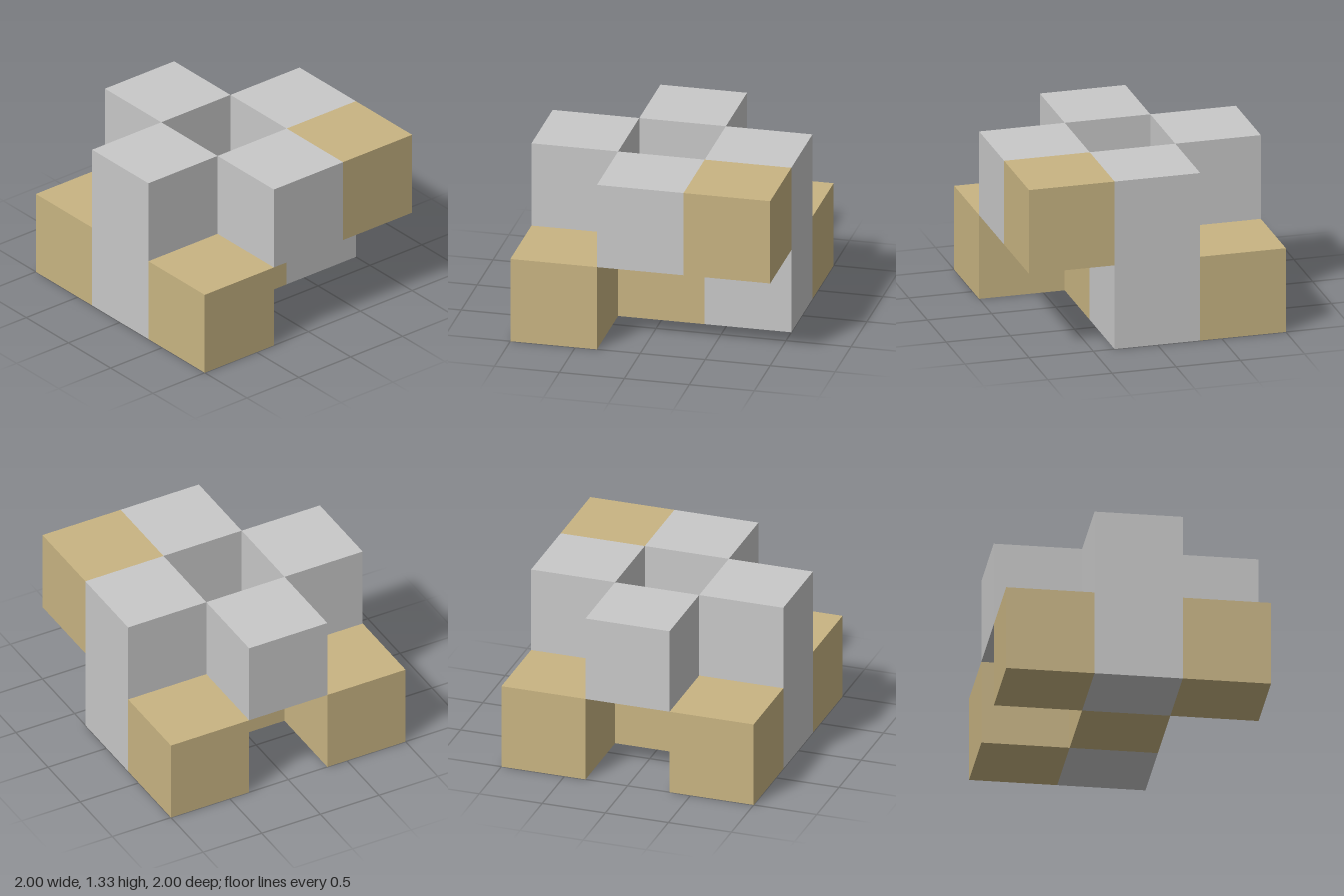
import * as THREE from 'three';

const CELL = 2 / 3;

export function createModel() {
  const model = new THREE.Group();
  model.name = 'blockPuzzle';

  const grey = new THREE.MeshStandardMaterial({ color: 0xc8c8c8 });
  grey.name = 'light grey';
  const tan = new THREE.MeshStandardMaterial({ color: 0xc8b482 });
  tan.name = 'sand';

  // One block at grid column x, layer y, row z (x and z from -1 to 1), some cells high
  function block(name, material, x, y, z, height = 1) {
    const mesh = new THREE.Mesh(new THREE.BoxGeometry(CELL, CELL * height, CELL), material);
    mesh.position.set(x * CELL, (y + height / 2) * CELL, z * CELL);
    mesh.name = name;
    model.add(mesh);
  }

  // Two-storey columns at the middle of the front and back
  block('frontColumn', grey, 0, 0, 1, 2);
  block('backColumn', grey, 0, 0, -1, 2);

  // Raised side blocks and low front corners, mirrored
  for (const [side, x] of [['left', 1], ['right', -1]]) {
    block(side + 'UpperBlock', grey, x, 1, 0);
    block(side + 'FrontCorner', tan, x, 0, 1);
  }

  // Low centre, and back corners on different layers
  block('centreBlock', tan, 0, 0, 0);
  block('leftBackCorner', tan, 1, 1, -1);
  block('rightBackCorner', tan, -1, 0, -1);

  return model;
}
